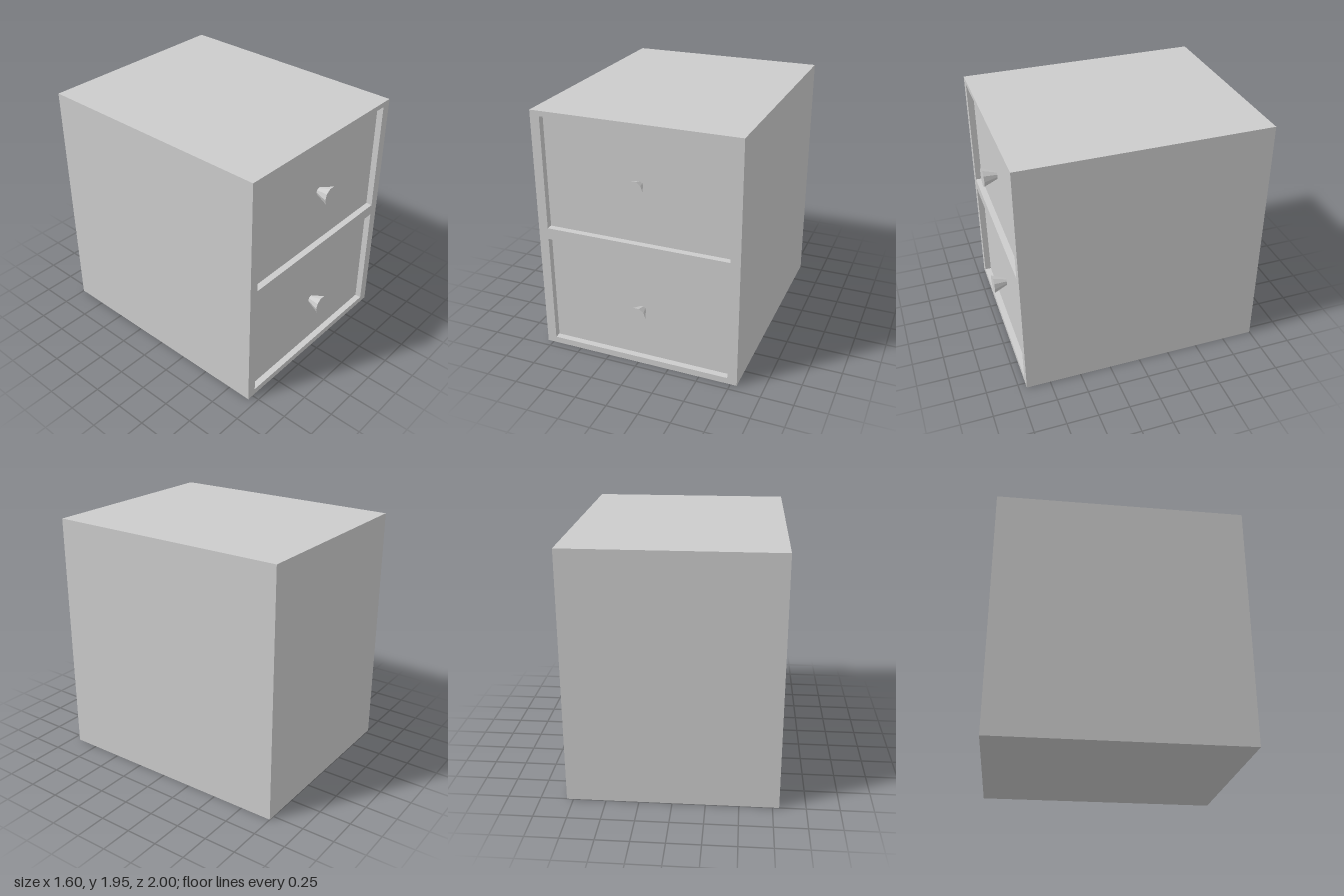
import * as THREE from 'three';

const W = 1.6, H = 1.95, BACK = -1, FRONT = 0.94, RECESS = 0.05;
const DRAWER_W = 1.45, DRAWER_H = 0.885;
const DRAWERS = [
  { name: 'lowerDrawer', y: 0.4925, knobY: 0.455 },
  { name: 'upperDrawer', y: 1.4675, knobY: 1.48 },
];

const material = new THREE.MeshStandardMaterial({ color: 0xcccccc, flatShading: true });

function part(name, geometry, x = 0, y = 0, z = 0) {
  const mesh = new THREE.Mesh(geometry, material);
  mesh.name = name;
  mesh.position.set(x, y, z);
  return mesh;
}

// Box without its front face; inward turns the faces to the inside
function openBox(w, h, d, inward = false) {
  const box = new THREE.BoxGeometry(w, h, d);
  const index = Array.from(box.index.array).filter((_, i) => i < 24 || i >= 30);
  if (inward) index.reverse();
  box.setIndex(index);
  box.clearGroups();
  const geometry = box.toNonIndexed();
  geometry.computeVertexNormals();
  return geometry;
}

function rectangle(path, w, h, y) {
  path.moveTo(-w / 2, y - h / 2);
  path.lineTo(w / 2, y - h / 2);
  path.lineTo(w / 2, y + h / 2);
  path.lineTo(-w / 2, y + h / 2);
  path.closePath();
  return path;
}

export function createModel() {
  const model = new THREE.Group();
  model.name = 'drawerCabinet';

  // Cabinet sides, top, bottom and back
  const depth = FRONT - BACK;
  model.add(part('cabinetBody', openBox(W, H, depth), 0, H / 2, (FRONT + BACK) / 2));

  // Front frame with one opening per drawer
  const frame = rectangle(new THREE.Shape(), W, H, H / 2);
  for (const d of DRAWERS) frame.holes.push(rectangle(new THREE.Path(), DRAWER_W, DRAWER_H, d.y));
  model.add(part('frontFrame', new THREE.ShapeGeometry(frame), 0, 0, FRONT));

  // Ten-sided knob, flaring towards the front
  const knobBack = FRONT - RECESS, knobLength = 1 - knobBack;
  const knob = new THREE.CylinderGeometry(0.075, 0.03, knobLength, 10, 1, false, Math.PI / 2);
  knob.rotateX(Math.PI / 2);

  // Recessed drawer fronts with their knobs
  for (const d of DRAWERS) {
    const drawer = new THREE.Group();
    drawer.name = d.name;
    drawer.add(
      part('recessedFront', openBox(DRAWER_W, DRAWER_H, RECESS, true), 0, d.y, FRONT - RECESS / 2),
      part('knob', knob, 0.02, d.knobY, knobBack + knobLength / 2),
    );
    model.add(drawer);
  }
  return model;
}
